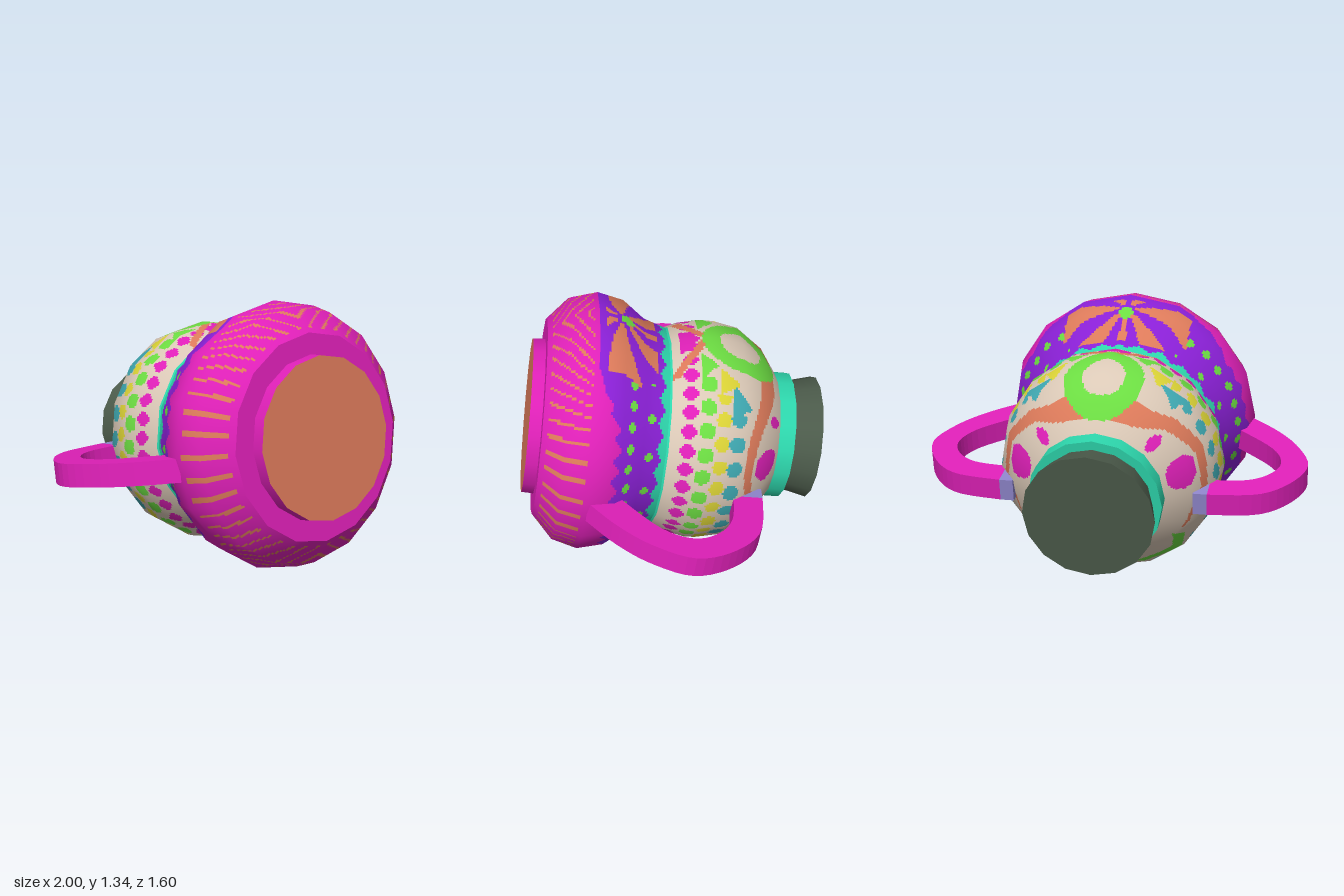
import * as THREE from 'three';

const paint = (name, color) => {
  const m = new THREE.MeshStandardMaterial({ color });
  m.name = name;
  return m;
};
const MAGENTA = 0, ORANGE = 1, PURPLE = 2, TEAL = 3, CLAY = 4, GREEN = 5, BLUE = 6, YELLOW = 7;
const SIDES = 16;

// Body outline as [radius, distance along the axis]
const BELLY = [[0.515, 0.062], [0.638, 0.172], [0.677, 0.305], [0.648, 0.44], [0.562, 0.555], [0.521, 0.675]];
const BOWL = [[0.521, 0.675], [0.556, 0.755], [0.58, 0.86], [0.58, 0.92], [0.556, 1.05], [0.457, 1.19], [0.332, 1.28]];

const frac = v => v - Math.floor(v);
const smooth = THREE.MathUtils.smoothstep;

// True inside one of n spots spread round the axis at height t0
function spot(a, t, r, t0, n, size, shift = 0) {
  const across = (frac(a * n / (2 * Math.PI) + shift) - 0.5) * 2 * Math.PI / n * r;
  return Math.hypot(across, t - t0) < size;
}
// True inside an isosceles triangle pointing along the axis
const triangle = (x, t, cx, cy, half, height) => {
  const k = (t - cy) / height;
  return k > 0 && k < 1 && Math.abs(x - cx) < half * (1 - k);
};

// Lower body: striped skirt, purple collar, teal rim. a = 0 at the top, PI underneath.
function bellyColour(a, t, r) {
  const s = a * r;
  if (t < 0.305) {
    const f = Math.min(a, Math.PI - a);
    const slant = 2.6 * (1 - smooth(f, 0.3, 1.2));
    const stripe = frac((f - slant * (t - 0.06)) / 0.157 + 0.2) < 0.2;
    return stripe && t > 0.085 && t < 0.285 ? ORANGE : MAGENTA;
  }
  if (t > 0.637 + 0.012 * Math.sin(a * 26)) return TEAL;
  // Fan of leaves on top
  if (a < 0.9) {
    if (Math.hypot(s, t - 0.45) < 0.036) return GREEN;
    const d = Math.hypot(s, t - 0.43), angle = Math.atan2(s, t - 0.43);
    if (s < 0.36 && d > 0.045 && t > 0.34 && t < 0.61 && Math.cos(angle * 7 + d * 5) > -0.15) return ORANGE;
  }
  if (a > 0.55 && (spot(a, t, r, 0.49, 36, 0.022) || spot(a, t, r, 0.585, 18, 0.02))) return GREEN;
  const edge = 0.305 + smooth(a, 0.45, 1.1) * (0.09 + 0.045 * Math.abs(Math.sin(a * 18)));
  return t > edge ? PURPLE : MAGENTA;
}

// Upper bowl: ring and triangles on top, rows of spots, sweeping bands
function bowlColour(a, t, r) {
  const x = r * Math.sin(a);
  if (t < 0.69) return TEAL;
  if (a < 1.0) {
    const d = Math.hypot(x, t - 1.04);
    if (d < 0.11) return CLAY;
    if (d < 0.2) return GREEN;
    if (triangle(x, t, 0, 0.72, 0.11, 0.11)) return MAGENTA;
    if (x < 0.24 && Math.abs(t - 0.865 + x * 0.7) < 0.025) return ORANGE;
    if (triangle(x, t, 0.19, 0.82, 0.09, 0.09)) return GREEN;
    if (triangle(x, t, 0.27, 0.92, 0.06, 0.11)) return YELLOW;
    if (triangle(x, t, 0.35, 0.99, 0.075, 0.1)) return BLUE;
  }
  // Teardrops beside the neck
  if (Math.hypot((a - 1.3) * r, (t - 1.2) * 1.4) < 0.085) return MAGENTA;
  if (Math.hypot((a - 0.78) * r, t - 1.235) < 0.03) return MAGENTA;
  // Orange and green bands
  if (a > 0.18 && a < 2.05) {
    const mid = 1.145 + 0.045 * Math.cos((a - 0.35) * 3.4);
    if (Math.abs(t - mid) < 0.05 - 0.02 * a) return ORANGE;
  }
  if (a > 2.15) {
    const mid = 1.14 + 0.05 * Math.sin(a * 7);
    if (Math.abs(t - mid) < 0.04) return GREEN;
  }
  if (spot(a, t, r, 0.775, 36, 0.037)) return MAGENTA;
  if (a > 0.42 && spot(a, t, r, 0.862, 30, 0.041)) return GREEN;
  if (a > 0.6 && spot(a, t, r, 0.942, 30, 0.038, 0.5)) return YELLOW;
  if (a > 0.78 && spot(a, t, r, 1.02, 27, 0.041)) return BLUE;
  return CLAY;
}

// Sixteen-sided turned surface cut into small faces, each sorted into a colour group
function paintedLathe(profile, colourAt, materials, name) {
  const SUB = 18, cols = SIDES * SUB, rows = [];
  const slopes = profile.slice(1).map((p, i) =>
    new THREE.Vector2(p[1] - profile[i][1], profile[i][0] - p[0]).normalize());
  const nodeNormal = i => (slopes[i - 1] || slopes[i]).clone().add(slopes[i] || slopes[i - 1]).normalize();
  for (let i = 0; i < profile.length - 1; i++) {
    const [r0, t0] = profile[i], [r1, t1] = profile[i + 1];
    const steps = Math.ceil(Math.hypot(r1 - r0, t1 - t0) / 0.012);
    for (let k = i ? 1 : 0; k <= steps; k++) {
      const f = k / steps;
      rows.push({ r: r0 + (r1 - r0) * f, t: t0 + (t1 - t0) * f, n: nodeNormal(i).lerp(nodeNormal(i + 1), f).normalize() });
    }
  }
  const pos = [], nor = [], buckets = materials.map(() => []);
  const corner = k => [Math.sin(k * 2 * Math.PI / SIDES), Math.cos(k * 2 * Math.PI / SIDES)];
  rows.forEach(({ r, t, n }) => {
    for (let j = 0; j <= cols; j++) {
      const k = Math.floor(j / SUB), f = j / SUB - k, p = corner(k), q = corner(k + 1);
      const x = p[0] + (q[0] - p[0]) * f, z = p[1] + (q[1] - p[1]) * f, l = Math.hypot(x, z);
      pos.push(r * x, t, r * z);
      nor.push(n.x * x / l, n.y, n.x * z / l);
    }
  });
  for (let i = 0; i < rows.length - 1; i++) {
    const r = (rows[i].r + rows[i + 1].r) / 2, t = (rows[i].t + rows[i + 1].t) / 2;
    for (let j = 0; j < cols; j++) {
      const turn = (j + 0.5) / cols * 2 * Math.PI, a = Math.min(turn, 2 * Math.PI - turn);
      const v = i * (cols + 1) + j, w = v + cols + 1;
      buckets[colourAt(a, t, r)].push(v, v + 1, w, v + 1, w + 1, w);
    }
  }
  const g = new THREE.BufferGeometry();
  g.setAttribute('position', new THREE.Float32BufferAttribute(pos, 3));
  g.setAttribute('normal', new THREE.Float32BufferAttribute(nor, 3));
  g.setIndex(buckets.flat());
  let start = 0;
  buckets.forEach((b, i) => {
    if (b.length) g.addGroup(start, b.length, i);
    start += b.length;
  });
  const mesh = new THREE.Mesh(g, materials);
  mesh.name = name;
  return mesh;
}

export function createModel() {
  const palette = [
    paint('magenta', 0xdf20b8), paint('terracotta', 0xdc7a5a), paint('purple', 0x8a20d6), paint('teal', 0x2dd6ac),
    paint('clay', 0xdac8b6), paint('green', 0x6cdc42), paint('blue', 0x3fa9b2), paint('yellow', 0xdbd336),
  ];
  const corkMat = paint('dark green', 0x4b5a4a), lavender = paint('lavender', 0x8f86cc);

  // Local +y runs along the jar from foot to stopper, local +z is its upper side
  const jar = new THREE.Group();
  jar.name = 'jar';
  const add = (name, geometry, material, x = 0, y = 0, z = 0) => {
    const mesh = new THREE.Mesh(geometry, material);
    mesh.name = name;
    mesh.position.set(x, y, z);
    jar.add(mesh);
  };
  const drum = (top, bottom, t0, t1) =>
    new THREE.CylinderGeometry(top, bottom, t1 - t0, SIDES).translate(0, (t0 + t1) / 2, 0);

  jar.add(paintedLathe(BELLY, bellyColour, palette, 'belly'));
  jar.add(paintedLathe(BOWL, bowlColour, palette, 'bowl'));
  add('bellyBase', new THREE.CircleGeometry(0.515, SIDES).rotateX(Math.PI / 2), palette[MAGENTA], 0, 0.062);
  add('foot', drum(0.41, 0.405, 0, 0.075), [palette[MAGENTA], palette[MAGENTA], palette[ORANGE]]);
  add('neckRing', drum(0.335, 0.335, 1.275, 1.362), palette[TEAL]);
  add('stopper', drum(0.326, 0.287, 1.35, 1.508), corkMat);

  // Curved strap handles with a pale end where they meet the bowl
  const outer = [[0.66, 0.31], [0.81, 0.45], [0.93, 0.615], [1.0, 0.82], [0.93, 1.015], [0.78, 1.155], [0.53, 1.195]];
  const inner = [[0.53, 1.045], [0.71, 1.02], [0.82, 0.935], [0.862, 0.81], [0.8, 0.655], [0.6, 0.46]];
  for (const side of [1, -1]) {
    const points = list => list.map(([x, t]) => new THREE.Vector2(side * x, t));
    const shape = new THREE.Shape();
    shape.moveTo(side * outer[0][0], outer[0][1]);
    shape.splineThru(points(outer.slice(1)));
    shape.lineTo(side * inner[0][0], inner[0][1]);
    shape.splineThru(points(inner.slice(1)));
    const label = side > 0 ? 'left' : 'right';
    const strap = new THREE.ExtrudeGeometry(shape, { depth: 0.115, bevelEnabled: false, curveSegments: 4 });
    add(label + 'Handle', strap, palette[MAGENTA], 0, 0, -0.122);
    add(label + 'HandleEnd', new THREE.BoxGeometry(0.07, 0.15, 0.115), lavender, side * 0.495, 1.12, -0.0645);
  }

  // Lay the jar down with its foot to the front, and rest it on the ground
  jar.rotation.x = THREE.MathUtils.degToRad(-98.6);
  jar.position.set(0, 0.715, 0.74);
  const model = new THREE.Group();
  model.name = 'paintedJar';
  model.add(jar);
  model.updateMatrixWorld(true);
  jar.position.y -= new THREE.Box3().setFromObject(model, true).min.y;
  return model;
}
